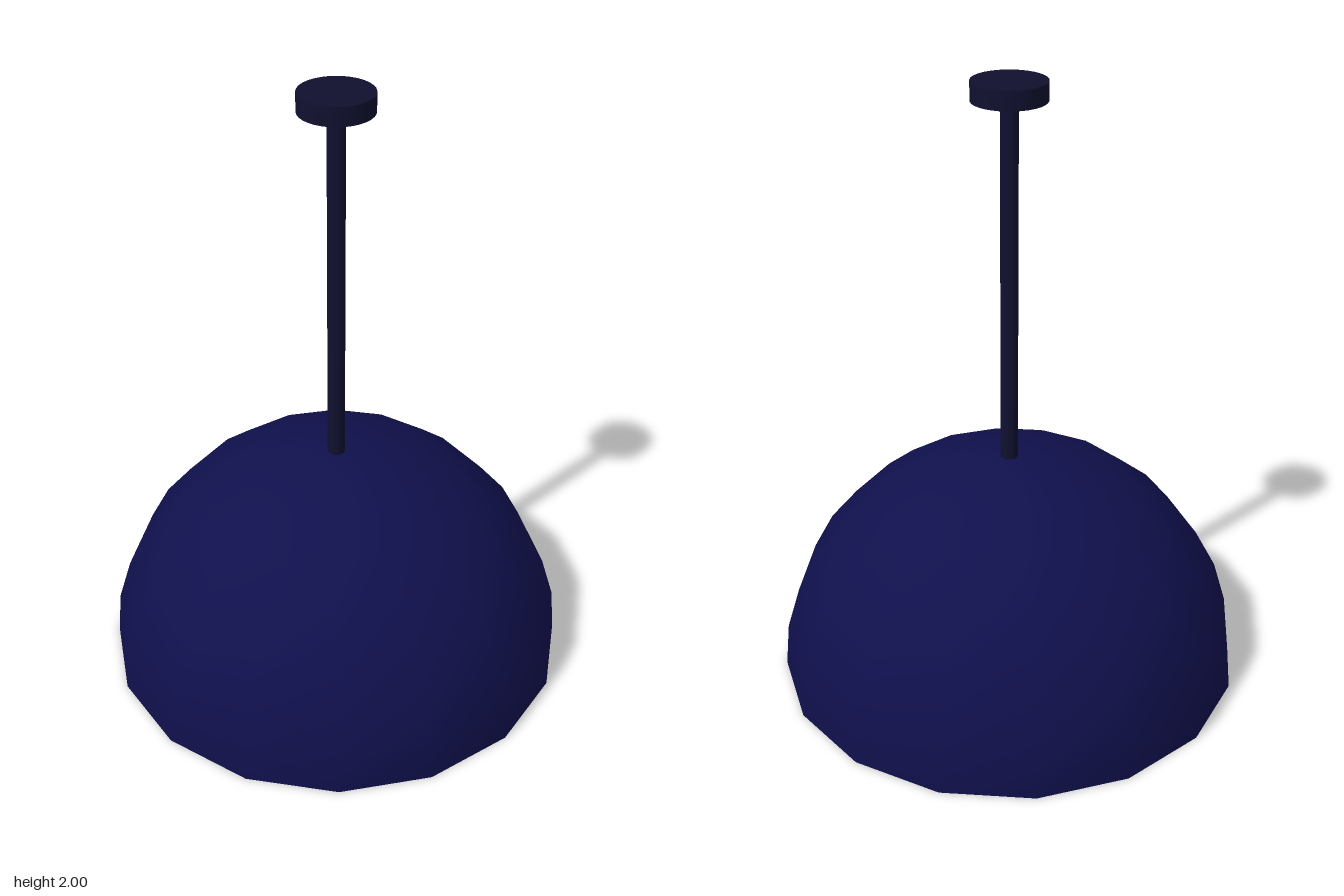
import * as THREE from 'three';

export function createModel() {
  const lamp = new THREE.Group();
  lamp.name = 'pendantLamp';

  const material = (name, color, side = THREE.FrontSide) => {
    const m = new THREE.MeshStandardMaterial({ color, side });
    m.name = name;
    return m;
  };
  const navy = material('navyShade', 0x10104d, THREE.DoubleSide);
  const darkMetal = material('darkMetal', 0x10102f);
  const glass = material('whiteGlass', 0xdedede);

  const add = (name, geometry, mat, y) => {
    const mesh = new THREE.Mesh(geometry, mat);
    mesh.name = name;
    mesh.position.y = y;
    lamp.add(mesh);
  };

  // Open half-dome shade with a sixteen-sided rim
  const R = 0.765;
  add('shade', new THREE.SphereGeometry(R, 16, 8, 0, Math.PI * 2, 0, Math.PI / 2), navy, 0);

  // Ceiling canopy
  add('canopy', new THREE.CylinderGeometry(0.116, 0.116, 0.06, 32), darkMetal, 1.97);

  // Hanging rod, running through the shade down to the bulb
  const rodTop = 1.94, rodBottom = 0.42;
  add('rod', new THREE.CylinderGeometry(0.028, 0.028, rodTop - rodBottom, 16), darkMetal, (rodTop + rodBottom) / 2);

  // Globe bulb
  add('bulb', new THREE.SphereGeometry(0.13, 24, 16), glass, 0.31);

  return lamp;
}
